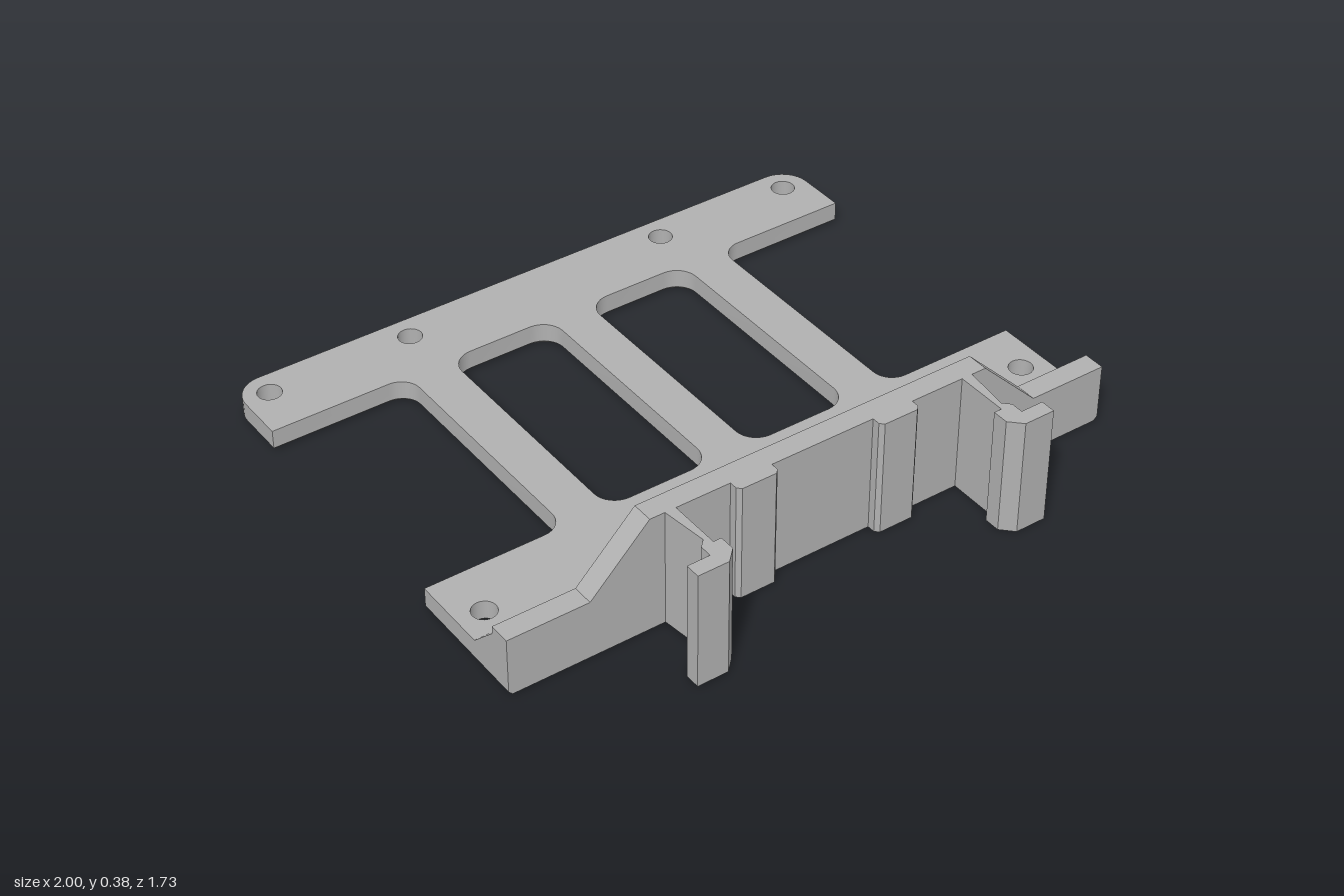
import * as THREE from 'three';
import { toCreasedNormals } from 'three/addons/utils/BufferGeometryUtils.js';

const FRONT = 0.613, BACK = -0.865, PLATE = 0.072, HEIGHT = 0.375, CHAMFER = 0.012;
const V = (x, y) => new THREE.Vector2(x, y);

// Plan outline from [x, z, radius] right-angled corners, as points in (x, -z)
function roundedOutline(corners) {
  const n = corners.length, out = [];
  corners.forEach(([x, z, r], i) => {
    const p = V(x, -z);
    if (!r) return out.push(p);
    const [ax, az] = corners[(i + n - 1) % n], [bx, bz] = corners[(i + 1) % n];
    const d1 = V(ax, -az).sub(p).normalize(), d2 = V(bx, -bz).sub(p).normalize();
    for (let k = 0; k <= 8; k++) {
      const t = k * Math.PI / 16;
      out.push(p.clone().addScaledVector(d1, r * (1 - Math.sin(t))).addScaledVector(d2, r * (1 - Math.cos(t))));
    }
  });
  return out;
}

// Move a contour towards the material; the front edge stays in line with the wall
function inset(points, c) {
  const n = points.length;
  const normal = (a, b) => V(a.y - b.y, b.x - a.x).normalize();
  return points.map((p, i) => {
    const n1 = normal(points[(i + n - 1) % n], p), n2 = normal(p, points[(i + 1) % n]);
    const q = p.clone().addScaledVector(n1.clone().add(n2), c / (1 + n1.dot(n2)));
    if (p.y < -FRONT + 0.001) q.y = p.y;
    return q;
  });
}

// Flat plate with holes whose bottom edges are all chamfered
function plateGeometry(outer, holes) {
  const contours = [outer, ...holes], pos = [];
  const add = (p, y) => pos.push(p.x, y, -p.y);
  const low = contours.map(c => inset(c, CHAMFER));
  const top = contours.flat(), bottom = low.flat();
  for (const [a, b, c] of THREE.ShapeUtils.triangulateShape(outer.slice(), holes.map(h => h.slice()))) {
    [a, b, c].forEach(i => add(top[i], PLATE));
    [a, c, b].forEach(i => add(bottom[i], 0));
  }
  contours.forEach((c, k) => {
    const rings = [[low[k], 0], [c, CHAMFER], [c, PLATE]];
    for (let r = 0; r < 2; r++) {
      const [A, ya] = rings[r], [B, yb] = rings[r + 1];
      c.forEach((_, i) => {
        const j = (i + 1) % c.length;
        add(A[i], ya); add(A[j], ya); add(B[j], yb);
        add(A[i], ya); add(B[j], yb); add(B[i], yb);
      });
    }
  });
  const g = new THREE.BufferGeometry();
  g.setAttribute('position', new THREE.Float32BufferAttribute(pos, 3));
  return toCreasedNormals(g, 0.5);
}

const extrude = (points, depth) => new THREE.ExtrudeGeometry(
  new THREE.Shape(points.map(([x, y]) => V(x, y))), { depth, bevelEnabled: false });

// Upright prism from a plan outline in (x, z), standing on y = 0
const upright = points => extrude(points.map(([x, z]) => [x, -z]), HEIGHT).rotateX(-Math.PI / 2);

export function createModel() {
  const group = new THREE.Group();
  const grey = new THREE.MeshStandardMaterial({ color: 0xb0b0b0 });
  grey.name = 'grey plastic';
  const add = (name, geometry) => {
    const mesh = new THREE.Mesh(geometry, grey);
    mesh.name = name;
    group.add(mesh);
  };

  // Base plate: two cross bars joined by three struts, with screw holes
  const half = [[1, FRONT, 0], [1, 0.203, 0], [0.555, 0.203, 0.065],
    [0.555, -0.62, 0.065], [1, -0.62, 0], [1, BACK, 0.09]];
  const outer = roundedOutline([...half, ...half.map(([x, z, r]) => [-x, z, r]).reverse()]);
  const holes = [];
  for (const [x0, x1] of [[0.067, 0.414], [-0.414, -0.067]]) {
    holes.push(roundedOutline([[x0, 0.203, 0.07], [x0, -0.62, 0.07], [x1, -0.62, 0.07], [x1, 0.203, 0.07]]));
  }
  for (const x of [-0.917, -0.448, 0.448, 0.917]) {
    for (const z of [-0.785, 0.368]) {
      holes.push(Array.from({ length: 24 }, (_, i) => {
        const t = -i * Math.PI / 12;
        return V(x + 0.037 * Math.cos(t), -z + 0.037 * Math.sin(t));
      }));
    }
  }
  add('basePlate', plateGeometry(outer, holes));

  // Front wall with sloped shoulders
  const wall = [[1, PLATE], [1, 0.188], [0.745, 0.188], [0.557, HEIGHT]];
  add('frontWall', extrude([...wall, ...wall.map(([x, y]) => [-x, y]).reverse()], FRONT - 0.545)
    .translate(0, 0, 0.545));

  // Sloped brace along the back of the wall
  add('wallBrace', extrude([[-0.452, PLATE], [-0.547, PLATE], [-0.547, 0.166]], 2)
    .rotateY(Math.PI / 2).translate(-1, 0, 0));

  // Spacer pads and snap hooks on the front of the wall
  const pad = [[0.168, 0.61], [0.302, 0.61], [0.302, 0.638], [0.29, 0.65], [0.18, 0.65], [0.168, 0.638]];
  const hook = [[0.51, 0.61], [0.492, 0.757], [0.513, 0.778], [0.513, 0.817], [0.585, 0.817], [0.585, 0.865],
    [0.487, 0.865], [0.45, 0.828], [0.45, 0.778], [0.475, 0.778], [0.475, 0.61]];
  for (const [side, s] of [['left', 1], ['right', -1]]) {
    add(side + 'Pad', upright(pad.map(([x, z]) => [s * x, z])));
    add(side + 'Hook', upright(hook.map(([x, z]) => [s * x, z])));
  }
  return group;
}
